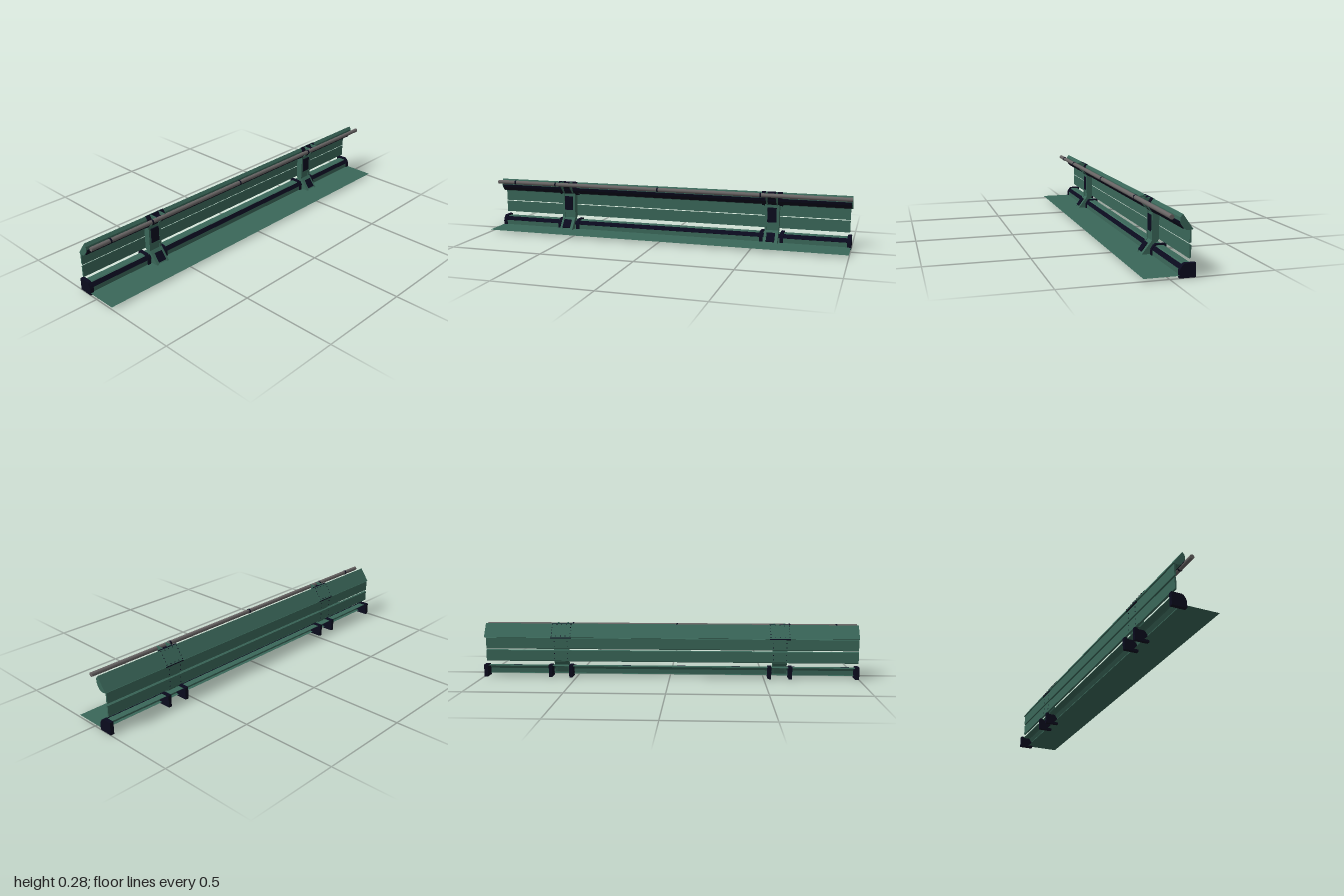
import * as THREE from 'three';

const green = new THREE.MeshStandardMaterial({ color: 0x3a6759, side: THREE.DoubleSide });
green.name = 'green paint';
const navy = new THREE.MeshStandardMaterial({ color: 0x0a0a1e, side: THREE.DoubleSide });
navy.name = 'dark navy';
const steel = new THREE.MeshStandardMaterial({ color: 0x686464 });
steel.name = 'grey steel';

// Prism with an x-y outline, running from z0 to z1
function prism(name, outline, z0, z1, material) {
  const shape = new THREE.Shape(outline.map(([x, y]) => new THREE.Vector2(x, y)));
  const geo = new THREE.ExtrudeGeometry(shape, { depth: z1 - z0, bevelEnabled: false });
  geo.translate(0, 0, z0);
  const mesh = new THREE.Mesh(geo, material);
  mesh.name = name;
  return mesh;
}

// Outline of a thin sheet that follows an open path, thickened to the path's right
function sheet(path, t) {
  const outer = path.map((p, i) => {
    const a = path[Math.max(i - 1, 0)], b = path[Math.min(i + 1, path.length - 1)];
    const dx = b[0] - a[0], dy = b[1] - a[1], l = Math.hypot(dx, dy);
    return [p[0] + (dy / l) * t, p[1] - (dx / l) * t];
  });
  return [...path, ...outer.reverse()];
}

function cylinderZ(name, r, length, z, material) {
  const geo = new THREE.CylinderGeometry(r, r, length, 16);
  geo.rotateX(Math.PI / 2);
  const mesh = new THREE.Mesh(geo, material);
  mesh.position.set(-0.005, 0.271, z);
  mesh.name = name;
  return mesh;
}

// Inner side of the top rail, from its top edge down to its bottom edge
const railInner = [[-0.055, 0.282], [-0.044, 0.267], [-0.043, 0.25], [-0.048, 0.236],
  [-0.062, 0.217], [-0.074, 0.21], [-0.09, 0.209], [-0.104, 0.213]];

// Bracket with a chamfered inner corner
const bracketOutline = [[-0.12, 0], [-0.045, 0], [-0.045, 0.034], [-0.05, 0.046],
  [-0.06, 0.06], [-0.068, 0.065], [-0.12, 0.065]];

function buildPost(zc) {
  const post = new THREE.Group();
  post.name = 'post';
  post.position.z = zc;

  // Side plates with the kinked foot
  const side = [[-0.092, 0.215], [-0.057, 0.215], [-0.057, 0.076], [-0.05, 0.068],
    [-0.006, 0.012], [-0.05, 0.012], [-0.062, 0.05], [-0.092, 0.08]];
  // Gusset arms reaching out to the handrail
  const arm = [[-0.05, 0.283], [-0.006, 0.283], [-0.012, 0.262], [-0.056, 0.212], [-0.062, 0.218]];
  for (const s of [-1, 1]) {
    const z = s * 0.032;
    post.add(prism('postSide', side, z - 0.006, z + 0.006, green));
    post.add(prism('handrailArm', arm, s * 0.027 - 0.004, s * 0.027 + 0.004, green));
  }

  // Recessed web between the side plates
  post.add(prism('postWeb', [[-0.09, 0.214], [-0.06, 0.214], [-0.06, 0.075],
    [-0.012, 0.013], [-0.05, 0.013], [-0.066, 0.055], [-0.09, 0.08]], -0.027, 0.027, green));

  // Dark panels on the post and its foot
  post.add(prism('postPanel', [[-0.061, 0.118], [-0.055, 0.118], [-0.055, 0.197], [-0.061, 0.197]],
    -0.024, 0.024, navy));
  post.add(prism('footPanel', sheet([[-0.043, 0.063], [-0.011, 0.021]].reverse(), 0.005),
    -0.022, 0.022, navy));

  // Clasp around the inner side of the rail
  post.add(prism('railClasp', sheet([...railInner].reverse(), 0.005), -0.055, 0.055, navy));
  post.add(prism('armBlock', [[-0.045, 0.27], [-0.018, 0.27], [-0.05, 0.232]], -0.02, 0.02, navy));

  // Cover plate and rivets on the outer face of the rail
  const at = (t, out) => [-0.104 + 0.049 * t - 0.815 * out, 0.213 + 0.069 * t + 0.579 * out];
  post.add(prism('coverPlate', [at(0, 0), at(1, 0), at(1, 0.002), at(0, 0.002)], -0.055, 0.055, green));
  const rivet = (t, z) => post.add(prism('rivet',
    [at(t - 0.025, 0.001), at(t + 0.025, 0.001), at(t + 0.025, 0.004), at(t - 0.025, 0.004)],
    z - 0.002, z + 0.002, navy));
  for (let i = 0; i < 5; i++) {
    for (const s of [-1, 1]) {
      rivet(0.08 + i * 0.21, s * 0.05);
      if (i > 0 && i < 4) rivet(s > 0 ? 0.92 : 0.08, -0.05 + i * 0.025);
    }
  }
  // Bolts through the side panels
  for (const y of [0.1, 0.125, 0.165, 0.19]) {
    for (const z of [-0.035, 0.035]) {
      post.add(prism('panelBolt', [[-0.102, y - 0.002], [-0.099, y - 0.002],
        [-0.099, y + 0.002], [-0.102, y + 0.002]], z - 0.002, z + 0.002, navy));
    }
  }

  // Brackets either side of the foot
  for (const z of [-0.055, 0.055]) {
    post.add(prism('kerbBracket', bracketOutline, z - 0.009, z + 0.009, navy));
  }
  return post;
}

export function createModel() {
  const model = new THREE.Group();
  model.name = 'barrier';

  // Thin floor sheet
  const floor = new THREE.Mesh(new THREE.PlaneGeometry(0.188, 2), green);
  floor.geometry.rotateX(-Math.PI / 2);
  floor.position.set(0.024, 0.012, 0);
  floor.name = 'floorSheet';
  model.add(floor);

  // Folded kerb with a dark strip on its slope
  const kerbPath = [[-0.105, 0.059], [-0.071, 0.059], [-0.064, 0.055], [-0.051, 0.036], [-0.05, 0.012]];
  model.add(prism('kerb', sheet(kerbPath, 0.002), -0.99, 0.99, green));
  model.add(prism('kerbStrip', sheet([[-0.051, 0.036], [-0.064, 0.056]], 0.003), -0.985, 0.985, navy));

  // End brackets of the kerb
  for (const s of [-1, 1]) {
    model.add(prism('endBracket', bracketOutline, s * 0.99 - 0.01, s * 0.99 + 0.01, navy));
  }

  // Two side panels with tapered edges
  for (const y of [0.082, 0.149]) {
    const h = 0.063;
    model.add(prism('sidePanel', [[-0.1, y + 0.004], [-0.092, y], [-0.092, y + h], [-0.1, y + h - 0.004]],
      -0.99, 0.998, green));
  }

  // Slanted top rail with a dark strip on its inner side
  model.add(prism('topRail', railInner, -1, 1, green));
  model.add(prism('railStrip', sheet(railInner.slice(2, 5).reverse(), 0.003), -0.995, 0.995, navy));

  // Handrail with joint rings
  model.add(cylinderZ('handrail', 0.011, 2, 0, steel));
  for (const z of [-0.53, 0.035, 0.64, 0.89]) {
    model.add(cylinderZ('handrailRing', 0.0125, 0.008, z, navy));
  }

  for (const z of [-0.585, 0.585]) model.add(buildPost(z));
  return model;
}
